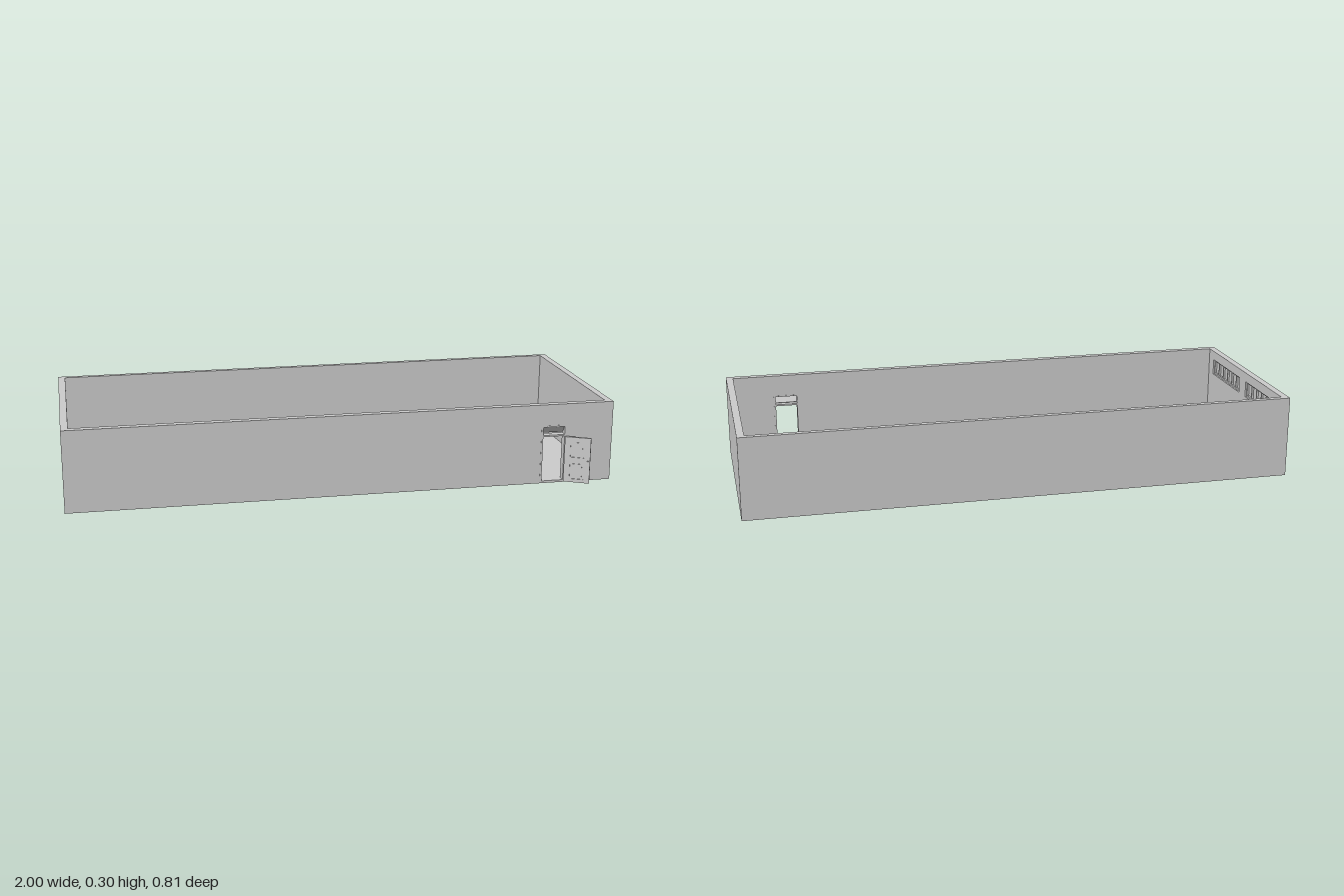
import * as THREE from 'three';

const mat = new THREE.MeshStandardMaterial({ color: 0xcccccc });

function add(parent, name, geometry) {
  const mesh = new THREE.Mesh(geometry, mat);
  mesh.name = name;
  parent.add(mesh);
  return mesh;
}

// Box given by its two extreme corners
function box(parent, name, x0, x1, y0, y1, z0, z1) {
  const mesh = add(parent, name, new THREE.BoxGeometry(x1 - x0, y1 - y0, z1 - z0));
  mesh.position.set((x0 + x1) / 2, (y0 + y1) / 2, (z0 + z1) / 2);
  return mesh;
}

const rect = (C, x0, x1, y0, y1) =>
  new C([[x0, y0], [x1, y0], [x1, y1], [x0, y1]].map(([x, y]) => new THREE.Vector2(x, y)));

// Flat plate with rectangular openings, extruded from z = 0
function plate([x0, x1, y0, y1], holes, depth) {
  const shape = rect(THREE.Shape, x0, x1, y0, y1);
  for (const h of holes) shape.holes.push(rect(THREE.Path, ...h));
  return new THREE.ExtrudeGeometry(shape, { depth, bevelEnabled: false });
}

const H = 0.3, FLOOR = 0.008, BACK = -0.4025, FRONT = 0.352, T = 0.026;

function buildDoor() {
  const door = new THREE.Group();
  door.name = 'door';
  const panels = [[0.022, 0.073, 0.017, 0.082], [0.022, 0.073, 0.1, 0.164]];
  add(door, 'doorLeaf', plate([0, 0.095, 0.004, 0.177], panels, 0.009));
  for (const [x0, x1, y0, y1] of panels) {
    box(door, 'recessedPanel', x0, x1, y0, y1, 0.003, 0.006);
    box(door, 'raisedPanel', x0 + 0.007, x1 - 0.007, y0 + 0.007, y1 - 0.007, 0.001, 0.008);
  }
  // Knob on each face
  for (const z of [-0.003, 0.012]) {
    const stem = add(door, 'knobStem', new THREE.CylinderGeometry(0.0012, 0.0012, 0.006, 10));
    stem.rotation.x = Math.PI / 2;
    stem.position.set(0.087, 0.09, z);
    const knob = add(door, 'knob', new THREE.SphereGeometry(0.0025, 12, 8));
    knob.position.set(0.087, 0.09, z);
  }
  door.position.set(0.82, 0, FRONT - 0.001);
  door.rotation.y = -0.48;
  return door;
}

function buildWindow(z0, z1) {
  const win = new THREE.Group();
  win.name = 'window';
  const y0 = 0.205, y1 = 0.265, f = 0.006, panes = 6;
  const step = (z1 - z0 - f) / panes;
  const holes = [];
  for (let i = 0; i < panes; i++) {
    const a = z0 + f + i * step;
    holes.push([a, a + step - f, y0 + f, y1 - f]);
  }
  const frame = add(win, 'windowFrame', plate([z0, z1, y0, y1], holes, 0.016));
  frame.rotation.y = -Math.PI / 2;
  frame.position.x = -0.98;
  box(win, 'windowPane', -0.989, -0.987, y0 + f, y1 - f, z0 + f, z1 - f);
  return win;
}

export function createModel() {
  const room = new THREE.Group();
  room.name = 'room';

  // Floor and plain walls
  box(room, 'floor', -1, 1, 0, FLOOR, BACK, FRONT);
  box(room, 'backWall', -1, 1, FLOOR, H, BACK, BACK + 0.02);
  box(room, 'leftWall', 1 - T, 1, FLOOR, H, BACK + 0.02, FRONT - T);

  // Front wall with doorway and transom opening
  const frontWall = add(room, 'frontWall', plate([-1, 1, FLOOR, H],
    [[0.73, 0.82, FLOOR + 0.0005, 0.217]], T));
  frontWall.position.z = FRONT - T;

  // Right wall with two strip windows
  const windows = [[-0.33, -0.055], [0.005, 0.28]];
  const rightWall = add(room, 'rightWall', plate([BACK + 0.02, FRONT - T, FLOOR, H],
    windows.map(([a, b]) => [a, b, 0.205, 0.265]), T));
  rightWall.rotation.y = -Math.PI / 2;
  rightWall.position.x = T - 1;
  for (const [a, b] of windows) room.add(buildWindow(a, b));

  // Door frame, rail below the transom and tilted transom sash
  const z0 = FRONT - T - 0.001, z1 = FRONT + 0.001;
  box(room, 'doorJamb', 0.727, 0.734, FLOOR, 0.22, z0, z1);
  box(room, 'doorJamb', 0.816, 0.823, FLOOR, 0.22, z0, z1);
  box(room, 'doorHead', 0.734, 0.816, 0.215, 0.22, z0, z1);
  box(room, 'transomRail', 0.734, 0.816, 0.178, 0.184, z0, z1);
  const sash = add(room, 'transomSash', new THREE.BoxGeometry(0.081, 0.03, 0.003));
  sash.position.set(0.775, 0.202, FRONT - 0.013);
  sash.rotation.x = 0.6;

  room.add(buildDoor());
  return room;
}
